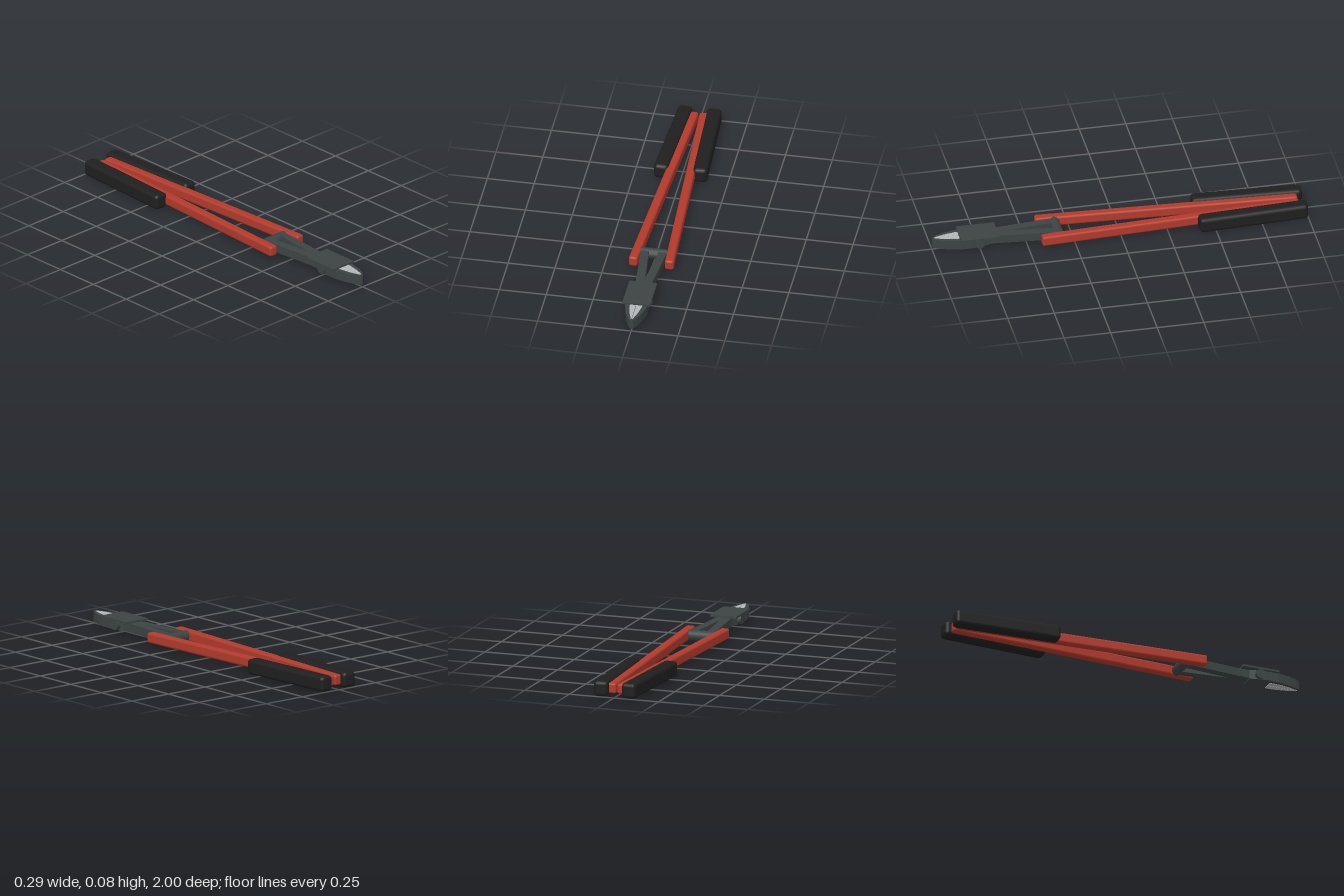
import * as THREE from 'three';
import { RoundedBoxGeometry } from 'three/addons/geometries/RoundedBoxGeometry.js';

const material = (name, color) => {
  const m = new THREE.MeshStandardMaterial({ color });
  m.name = name;
  return m;
};

export function createModel() {
  const red = material('red paint', 0xb23a2c);
  const rubber = material('black rubber', 0x1f1f1f);
  const steel = material('dark steel', 0x3d4444);
  const edge = material('bright steel', 0xb4b8bb);
  const MID = 0.0425;
  const model = new THREE.Group();
  model.name = 'boltCutter';

  const add = (name, geometry, mat, x = 0, y = 0, z = 0) => {
    const mesh = new THREE.Mesh(geometry, mat);
    mesh.name = name;
    mesh.position.set(x, y, z);
    model.add(mesh);
    return mesh;
  };

  // Rounded bar lying between two points [x, z]
  const bar = (name, a, b, width, height, radius, mat) => {
    const dx = b[0] - a[0], dz = b[1] - a[1];
    const geometry = new RoundedBoxGeometry(width, height, Math.hypot(dx, dz), 2, radius);
    const mesh = add(name, geometry, mat, (a[0] + b[0]) / 2, MID, (a[1] + b[1]) / 2);
    mesh.rotation.y = Math.atan2(dx, dz);
  };

  // Flat plate from an outline of [x, z] points, standing from y0 to y1
  const plate = (name, points, y0, y1, mat) => {
    const shape = new THREE.Shape(points.map(([x, z]) => new THREE.Vector2(x, -z)));
    const geometry = new THREE.ExtrudeGeometry(shape, { depth: y1 - y0, bevelEnabled: false });
    geometry.rotateX(-Math.PI / 2);
    add(name, geometry, mat, 0, y0, 0);
  };

  // Pin lying across the tool
  const pin = (name, radius, length, z) => {
    const geometry = new THREE.CylinderGeometry(radius, radius, length, 12).rotateZ(Math.PI / 2);
    add(name, geometry, steel, 0, MID, z);
  };

  for (const [side, s] of [['left', 1], ['right', -1]]) {
    const mirror = (points) => points.map(([x, z]) => [s * x, z]);

    // Handle and its grip
    bar(side + 'Handle', [s * 0.026, -0.965], [s * 0.097, 0.43], 0.048, 0.056, 0.012, red);
    bar(side + 'Grip', [s * 0.077, -0.998], [s * 0.105, -0.412], 0.078, 0.083, 0.02, rubber);

    // Arm linking the crossbar to the jaw
    plate(side + 'Arm', mirror([
      [0.027, 0.34], [0.07, 0.34], [0.042, 0.66], [0.042, 0.72], [0, 0.72], [0, 0.6],
    ]), 0.02, 0.065, steel);

    // Curved jaw
    plate(side + 'Jaw', mirror([
      [0, 0.7], [0.042, 0.7], [0.06, 0.78], [0.058, 0.86], [0.044, 0.925],
      [0.026, 0.97], [0.01, 0.995], [0, 1],
    ]), 0.016, 0.068, steel);

    // Bright cutting edge
    plate(side + 'CuttingEdge', mirror([
      [0.001, 0.82], [0.034, 0.82], [0.033, 0.87], [0.022, 0.93], [0.005, 0.985], [0.001, 0.985],
    ]), 0.0145, 0.0695, edge);
  }

  // Crossbar, pivot and cover plate
  pin('crossbar', 0.028, 0.15, 0.33);
  pin('pivotPin', 0.027, 0.14, 0.755);
  add('coverPlate', new THREE.BoxGeometry(0.148, 0.011, 0.206), steel, 0, 0.0725, 0.754);

  return model;
}
